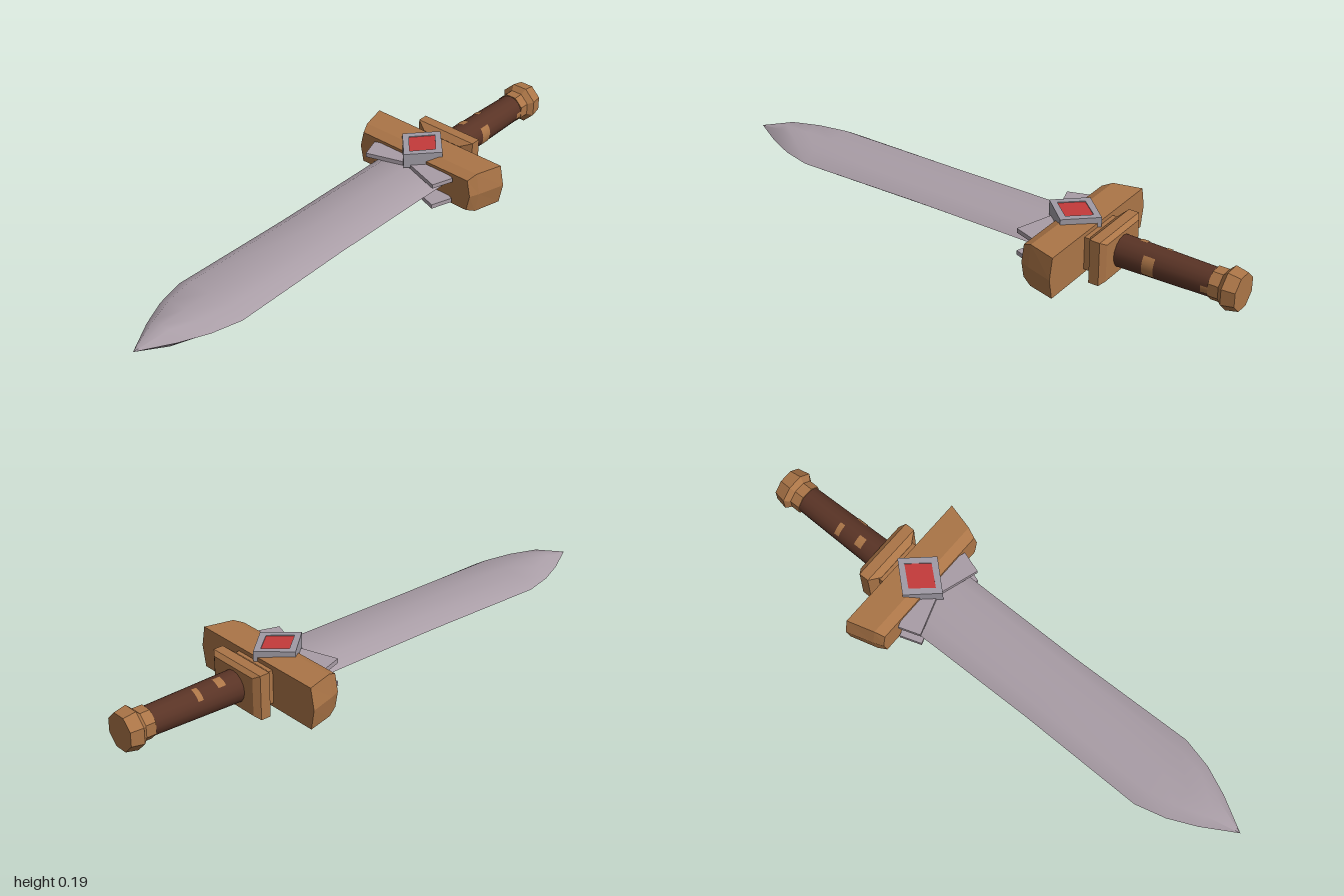
import * as THREE from 'three';

const MID = 0.097; // height of the sword's long axis

function material(name, color) {
  const m = new THREE.MeshStandardMaterial({ color });
  m.name = name;
  return m;
}

// Skin over cross-sections ordered from back (-z) to front; points run counter-clockwise seen from +z.
function loft(sections, { closed = true, flat = true } = {}) {
  const n = sections[0].length;
  const index = [];
  sections.slice(1).forEach((_, s) => {
    for (let i = 0; i < (closed ? n : n - 1); i++) {
      const a = s * n + i, b = s * n + (i + 1) % n;
      index.push(a, b, b + n, a, b + n, a + n);
    }
  });
  if (closed) {
    const last = (sections.length - 1) * n;
    for (let i = 1; i < n - 1; i++) {
      index.push(0, i + 1, i, last, last + i, last + i + 1);
    }
  }
  let g = new THREE.BufferGeometry();
  g.setAttribute('position', new THREE.Float32BufferAttribute(sections.flat(2), 3));
  g.setIndex(index);
  if (flat) g = g.toNonIndexed();
  g.computeVertexNormals();
  return g;
}

// Horizontal plate from [x, z] points, filling y from 0 down to -depth
function plate(points, depth, hole) {
  const toShape = (pts) => pts.map(([x, z]) => new THREE.Vector2(x, z));
  const shape = new THREE.Shape(toShape(points));
  if (hole) shape.holes.push(new THREE.Path(toShape(hole)));
  return new THREE.ExtrudeGeometry(shape, { depth, bevelEnabled: false }).rotateX(Math.PI / 2);
}

const diamond = (w, d) => [[w, 0], [0, d], [-w, 0], [0, -d]];

export function createModel() {
  const group = new THREE.Group();
  const steel = material('steel', 0xa99da6);
  const frameSteel = material('frameSteel', 0xa09ba5);
  const bronze = material('bronze', 0xab7547);
  const leather = material('leather', 0x5a3426);
  const red = material('gemRed', 0xc43a3a);

  const add = (name, geometry, mat, x = 0, y = MID, z = 0) => {
    const mesh = new THREE.Mesh(geometry, mat);
    mesh.name = name;
    mesh.position.set(x, y, z);
    group.add(mesh);
    return mesh;
  };

  // Blade: [z, half width, half flat width, half thickness], upper and lower skins meet at sharp edges
  const stations = [
    [-0.4, 0.14, 0.088, 0.034], [-0.2, 0.137, 0.088, 0.034], [0.2, 0.135, 0.088, 0.034],
    [0.67, 0.143, 0.09, 0.034], [0.78, 0.115, 0.07, 0.034], [0.88, 0.07, 0.035, 0.033], [1, 0, 0, 0],
  ];
  for (const side of [1, -1]) {
    const skin = stations.map(([z, w, f, h]) =>
      [[w, 0], [f, h], [0, h * 1.02], [-f, h], [-w, 0]].map(([x, y]) => [x * side, y * side, z]));
    add(side > 0 ? 'bladeUpper' : 'bladeLower', loft(skin, { closed: false, flat: false }), steel, -0.004);
  }

  // Crossguard: pointed ends, narrowing to the front
  const guardSection = (z, w, tip, h) =>
    [[tip, 0], [w, h], [-w, h], [-tip, 0], [-w, -h], [w, -h]].map(([x, y]) => [x, y, z]);
  add('crossguard', loft([
    guardSection(-0.47, 0.278, 0.293, 0.075),
    guardSection(-0.37, 0.25, 0.264, 0.077),
    guardSection(-0.335, 0.237, 0.25, 0.061),
  ]), bronze);

  // Collar and neck behind the guard
  const rect = (z, w, h) => [[w, -h, z], [w, h, z], [-w, h, z], [-w, -h, z]];
  add('collar', loft([
    rect(-0.562, 0.1, 0.068), rect(-0.547, 0.122, 0.08),
    rect(-0.51, 0.122, 0.08), rect(-0.487, 0.08, 0.062),
  ]), bronze);
  add('neck', new THREE.BoxGeometry(0.175, 0.12, 0.05), bronze, 0, MID, -0.48);

  // Wings: swept plates above and below the blade root
  const wing = [[0, -0.3], [0.152, -0.25], [0.178, -0.328], [0.08, -0.36],
    [-0.08, -0.36], [-0.178, -0.328], [-0.152, -0.25]];
  add('upperWings', plate(wing, 0.016), steel, 0, 0.147);
  add('lowerWings', plate(wing, 0.016), steel, 0, 0.063);

  // Diamond gem settings on both faces
  const outer = diamond(0.092, 0.102), inner = diamond(0.061, 0.071);
  add('upperGemFrame', plate(outer, 0.055, inner), frameSteel, 0, 0.193, -0.378);
  add('lowerGemFrame', plate(outer, 0.055, inner), frameSteel, 0, 0.055, -0.378);
  add('upperGem', plate(inner, 0.04), red, 0, 0.19, -0.378);
  add('lowerGem', plate(inner, 0.04), red, 0, 0.043, -0.378);

  // Grip
  const along = (front, back, length, sides) =>
    new THREE.CylinderGeometry(front, back, length, sides).rotateX(Math.PI / 2);
  add('grip', along(0.057, 0.05, 0.36, 16), leather, 0, MID, -0.73);

  // Bare gaps in the wrap: [z, length, start angle, sweep], angle 0 is below, PI/2 is +x
  const gaps = [[-0.685, 0.042, 1.0, 1.3], [-0.635, 0.03, 3.2, 0.7], [-0.725, 0.02, 3.3, 0.9], [-0.89, 0.03, 1.2, 0.5]];
  for (const [z, length, start, sweep] of gaps) {
    const r = 0.0535 + (z + 0.73) * 0.0194 + 0.0015;
    const patch = new THREE.CylinderGeometry(r, r, length, 6, 1, true, start, sweep).rotateX(Math.PI / 2);
    add('wrapGap', patch, bronze, 0, MID, z);
  }

  // Octagonal pommel
  const octagon = (z, r) => Array.from({ length: 8 }, (_, i) => {
    const a = (i + 0.5) * Math.PI / 4;
    return [Math.cos(a) * r, Math.sin(a) * r, z];
  });
  add('pommel', loft([
    octagon(-1, 0.065), octagon(-0.955, 0.074), octagon(-0.937, 0.056), octagon(-0.9, 0.056),
  ]), bronze);

  return group;
}
